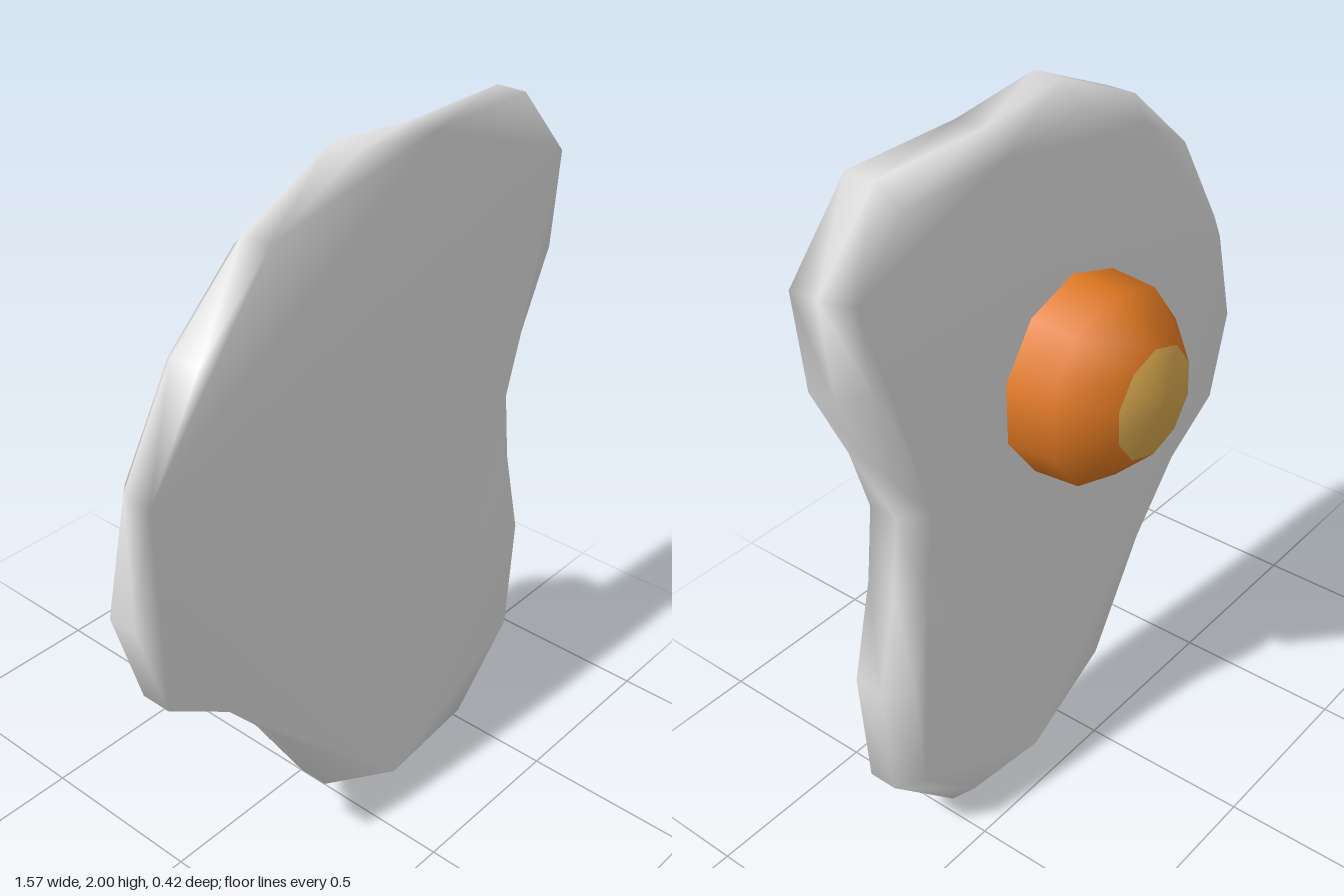
import * as THREE from 'three';

const white = new THREE.MeshStandardMaterial({ color: 0xe2e2e2 });
white.name = 'egg white';
const orange = new THREE.MeshStandardMaterial({ color: 0xe07822 });
orange.name = 'yolk orange';
const gold = new THREE.MeshStandardMaterial({ color: 0xdcab50 });
gold.name = 'yolk highlight';

// Wavy outline of the egg white, counter-clockwise seen from the front
const outline = [
  [-0.04, 2], [-0.33, 1.87], [-0.56, 1.66], [-0.72, 1.38], [-0.785, 1.08],
  [-0.7, 0.8], [-0.5, 0.67], [-0.34, 0.49], [-0.135, 0.17], [0.18, 0],
  [0.49, 0.04], [0.705, 0.26], [0.72, 0.61], [0.645, 0.89], [0.615, 1.1],
  [0.665, 1.28], [0.765, 1.5], [0.785, 1.765], [0.595, 1.97], [0.24, 1.97],
].map(([x, y]) => new THREE.Vector2(x, y));

// Moves every corner of the outline inward
function inset(points, d) {
  const n = points.length;
  return points.map((p, i) => {
    const t = points[(i + 1) % n].clone().sub(points[(i + n - 1) % n]).normalize();
    return new THREE.Vector2(p.x - t.y * d, p.y + t.x * d);
  });
}

// Flat slab with a bevelled back edge; shared vertices keep the shading soft
function createWhite() {
  const n = outline.length;
  const rings = [[outline, 0.21], [outline, 0.125], [inset(outline, 0.062), 0.066]];
  const position = rings.flatMap(([pts, z]) => pts.flatMap((p) => [p.x, p.y, z]));
  const index = [];
  for (let r = 0; r < 2; r++) {
    for (let i = 0; i < n; i++) {
      const a = r * n + i, b = r * n + (i + 1) % n;
      index.push(a, a + n, b, b, a + n, b + n);
    }
  }
  // Front and back caps
  for (const [a, b, c] of THREE.ShapeUtils.triangulateShape(outline, [])) {
    index.push(a, b, c, 2 * n + a, 2 * n + c, 2 * n + b);
  }
  const geometry = new THREE.BufferGeometry();
  geometry.setAttribute('position', new THREE.Float32BufferAttribute(position, 3));
  geometry.setIndex(index);
  geometry.computeVertexNormals();
  const mesh = new THREE.Mesh(geometry, white);
  mesh.name = 'eggWhite';
  return mesh;
}

// Ten-sided dome pointing backwards, with a lighter tip
function createYolk() {
  const sides = 10;
  const profile = [[0.28, -0.07], [0.27, 0.07], [0.155, 0.19], [0, 0.21]]
    .map(([r, h]) => new THREE.Vector2(r, h));
  const geometry = new THREE.LatheGeometry(profile, sides);
  geometry.rotateX(-Math.PI / 2);
  for (let i = 0; i < sides; i++) {
    geometry.addGroup(i * 18, 12, 0);
    geometry.addGroup(i * 18 + 12, 6, 1);
  }
  const mesh = new THREE.Mesh(geometry, [orange, gold]);
  mesh.name = 'yolk';
  mesh.position.y = 1.24;
  return mesh;
}

export function createModel() {
  const group = new THREE.Group();
  group.name = 'friedEgg';
  group.add(createWhite(), createYolk());
  return group;
}
